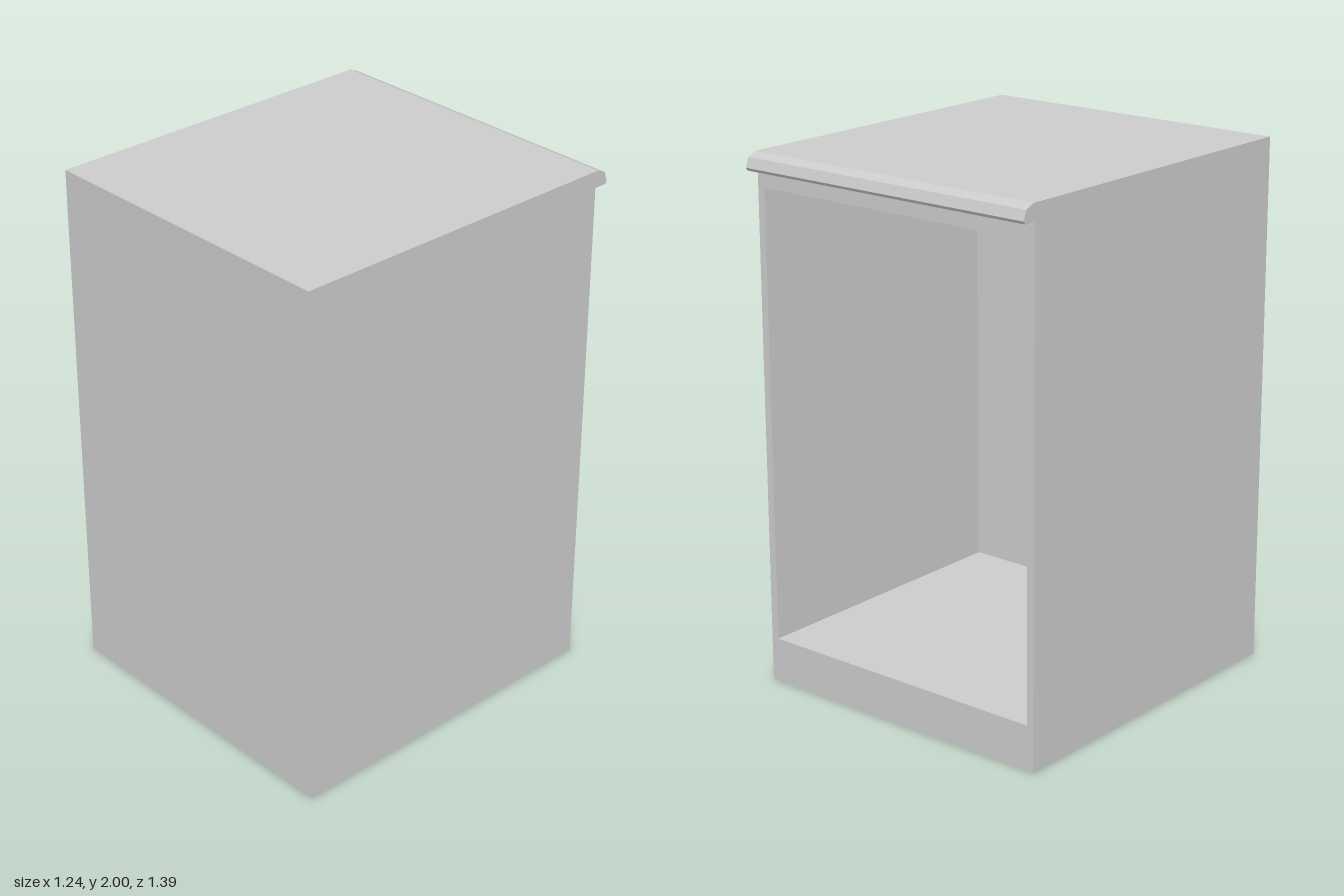
import * as THREE from 'three';

const W = 1.244, H = 2;               // cabinet width and height
const FRONT = 0.694, BACK = -0.637;   // z of the outer faces
const INNER = 0.51;                   // z where the cavity ends
const WALL = 0.03, FLOOR = 0.17, CEILING = 1.872;

export function createModel() {
  const group = new THREE.Group();
  const material = new THREE.MeshStandardMaterial({ color: 0xcccccc, flatShading: true });
  const add = (name, geometry) => {
    const mesh = new THREE.Mesh(geometry, material);
    mesh.name = name;
    group.add(mesh);
  };
  const polygon = (points) => points.map(([x, y]) => new THREE.Vector2(x, y));

  // Carcass: side walls, plinth and top as one frame, open at the back
  const outline = new THREE.Shape(polygon([[-W / 2, 0], [W / 2, 0], [W / 2, H], [-W / 2, H]]));
  const x = W / 2 - WALL;
  outline.holes.push(new THREE.Path(polygon([[-x, FLOOR], [-x, CEILING], [x, CEILING], [x, FLOOR]])));
  const carcass = new THREE.ExtrudeGeometry(outline, { depth: INNER - BACK, bevelEnabled: false });
  carcass.translate(0, 0, BACK);
  add('carcass', carcass);

  // Thick closed panel at the front
  const panel = new THREE.BoxGeometry(W, H, FRONT - INNER);
  panel.translate(0, H / 2, (FRONT + INNER) / 2);
  add('frontPanel', panel);

  // Rounded worktop lip along the back edge; profile is (-z, y)
  const profile = new THREE.Shape(polygon([
    [0.637, 1.937], [0.687, 1.937], [0.694, 1.948], [0.681, 1.984], [0.645, H], [0.637, H],
  ]));
  const lip = new THREE.ExtrudeGeometry(profile, { depth: W, bevelEnabled: false });
  lip.rotateY(Math.PI / 2);
  lip.translate(-W / 2, 0, 0);
  add('worktopLip', lip);

  return group;
}
